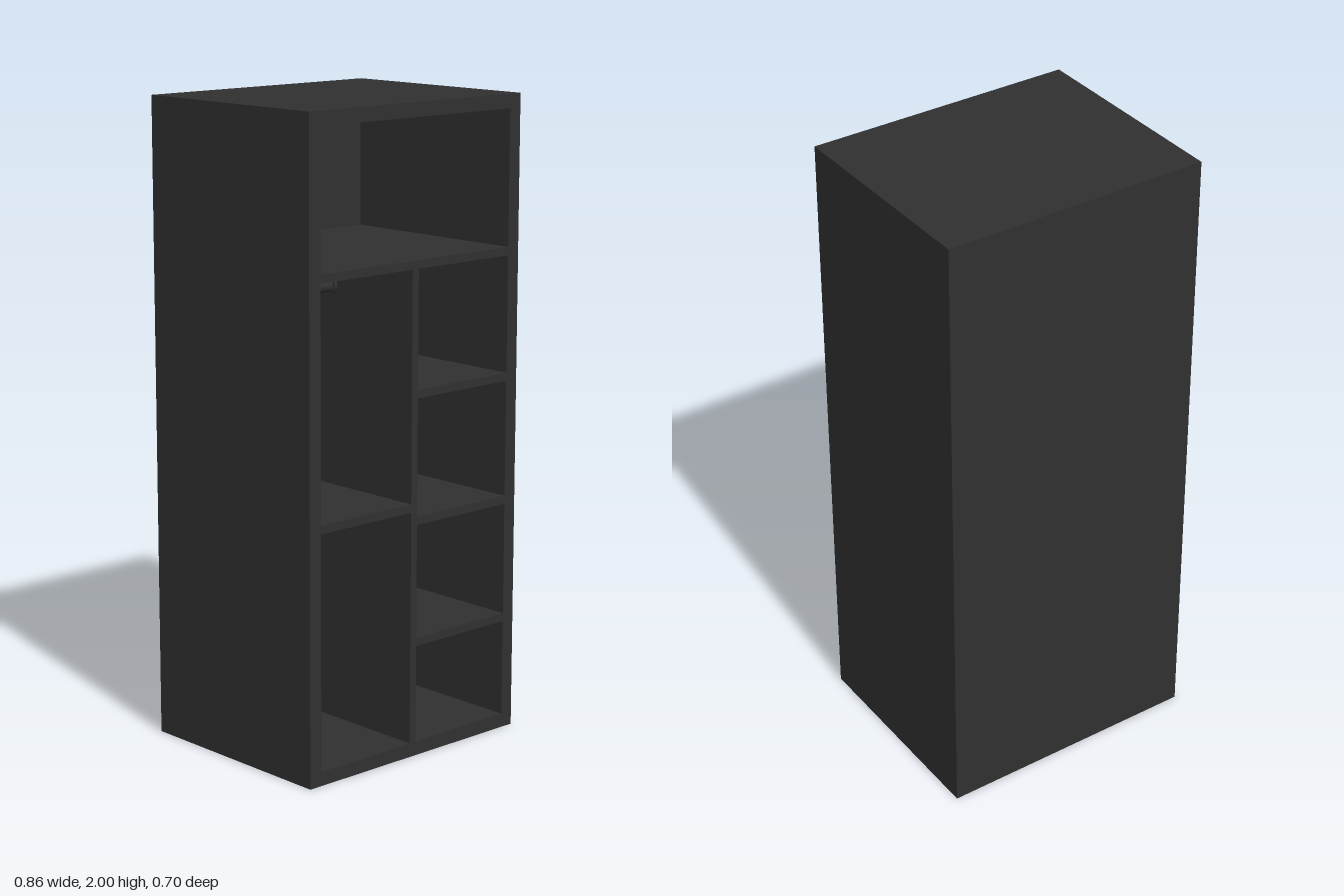
import * as THREE from 'three';

export function createModel() {
  const group = new THREE.Group();
  const charcoal = new THREE.MeshStandardMaterial({ color: 0x303030 });
  charcoal.name = 'charcoal';

  const W = 0.43, D = 0.35, H = 2, T = 0.044; // half width, half depth, height, panel thickness
  const inX = W - T, back = -D + T;

  // Box given by its limits on each axis
  function panel(name, x0, x1, y0, y1, z0 = back, z1 = D) {
    const mesh = new THREE.Mesh(new THREE.BoxGeometry(x1 - x0, y1 - y0, z1 - z0), charcoal);
    mesh.position.set((x0 + x1) / 2, (y0 + y1) / 2, (z0 + z1) / 2);
    mesh.name = name;
    group.add(mesh);
  }

  // Outer carcass: one frame with a rectangular opening, closed by a back panel
  const outline = new THREE.Shape([
    new THREE.Vector2(-W, 0), new THREE.Vector2(W, 0),
    new THREE.Vector2(W, H), new THREE.Vector2(-W, H),
  ]);
  outline.holes.push(new THREE.Path([
    new THREE.Vector2(-inX, T), new THREE.Vector2(-inX, H - T),
    new THREE.Vector2(inX, H - T), new THREE.Vector2(inX, T),
  ]));
  const frame = new THREE.Mesh(
    new THREE.ExtrudeGeometry(outline, { depth: 2 * D, bevelEnabled: false }), charcoal);
  frame.position.z = -D;
  frame.name = 'carcass';
  group.add(frame);
  panel('backPanel', -inX, inX, T, H - T, -D, back);

  // Full-width shelf and the divider below it
  const divL = -0.02, divR = 0.005, shelfT = 0.026;
  panel('topShelf', -inX, inX, 1.51, 1.51 + shelfT);
  panel('divider', divL, divR, T, 1.51);

  // Shelves on either side of the divider
  panel('hangingShelf', -inX, divL, 0.773, 0.773 + shelfT);
  for (const y of [0.35, 0.73, 1.12]) panel('sideShelf', divR, inX, y, y + shelfT);

  // Clothes rails with a round socket at each end
  function rod(name, radius, length, x, y) {
    const geo = new THREE.CylinderGeometry(radius, radius, length, 24);
    const mesh = new THREE.Mesh(geo, charcoal);
    mesh.rotation.z = Math.PI / 2;
    mesh.position.set(x, y, 0);
    mesh.name = name;
    group.add(mesh);
  }
  for (const y of [0.67, 1.42]) {
    rod('clothesRail', 0.018, divL + inX, (divL - inX) / 2, y);
    for (const x of [-inX + 0.006, divL - 0.006]) rod('railSocket', 0.025, 0.012, x, y);
  }

  return group;
}
